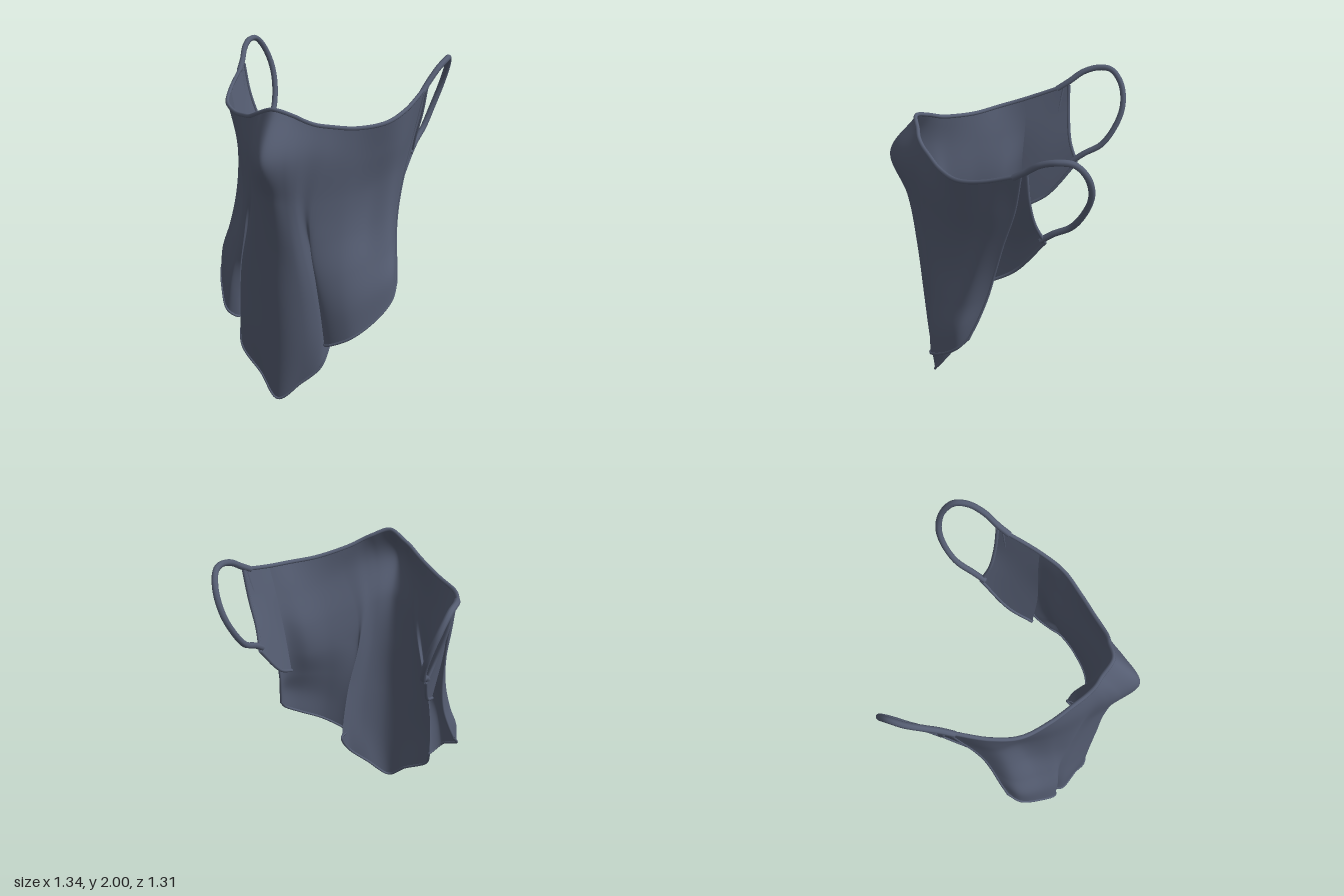
import * as THREE from 'three';

const cloth = new THREE.MeshStandardMaterial({ color: 0x555d72, side: THREE.DoubleSide });
cloth.name = 'slate cloth';

const V = (p) => new THREE.Vector3(...p);
const curve = (pts) => new THREE.CatmullRomCurve3(pts);
const mirror = (p) => new THREE.Vector3(-p.x, p.y, p.z);

// Smooth grid of points through columns that each run from top to bottom
function drape(columns, rows, cols) {
  const down = columns.map(curve);
  const grid = [];
  for (let i = 0; i <= rows; i++) {
    const across = curve(down.map((c) => c.getPoint(i / rows)));
    grid.push(across.getPoints(cols));
  }
  return grid;
}

function sheet(name, grid) {
  const pos = [], index = [];
  const n = grid[0].length;
  grid.forEach((row) => row.forEach((p) => pos.push(p.x, p.y, p.z)));
  for (let i = 0; i < grid.length - 1; i++) {
    for (let j = 0; j < n - 1; j++) {
      const a = i * n + j, b = a + n;
      index.push(a, b, a + 1, a + 1, b, b + 1);
    }
  }
  const g = new THREE.BufferGeometry();
  g.setAttribute('position', new THREE.Float32BufferAttribute(pos, 3));
  g.setIndex(index);
  g.computeVertexNormals();
  const mesh = new THREE.Mesh(g, cloth);
  mesh.name = name;
  return mesh;
}

function cord(name, pts, radius, segments = 90) {
  const mesh = new THREE.Mesh(new THREE.TubeGeometry(curve(pts), segments, radius, 8), cloth);
  mesh.name = name;
  return mesh;
}

// Columns of the left half: centre line, front panel, pleat, hollow cheek, side edge
const frontColumns = [
  [[0, 1.85, .48], [0, 1.6, .65], [0, 1.35, .555], [0, 1.05, .5], [0, .7, .475], [0, .35, .45], [-.03, .01, .43]],
  [[.1, 1.815, .44], [.1, 1.6, .56], [.08, 1.33, .515], [.1, 1.05, .475], [.13, .7, .43], [.14, .4, .4], [.1, .12, .385]],
  [[.15, 1.79, .42], [.145, 1.595, .5], [.12, 1.32, .48], [.14, 1.05, .435], [.185, .72, .375], [.21, .47, .335], [.215, .24, .325]],
  [[.2, 1.765, .385], [.19, 1.59, .435], [.15, 1.3, .43], [.165, 1.05, .38], [.21, .77, .31], [.225, .58, .26], [.235, .4, .235]],
];
const sideColumns = [
  [[.27, 1.745, .325], [.26, 1.57, .36], [.19, 1.3, .4], [.175, 1.05, .395], [.2, .8, .37], [.22, .6, .35], [.24, .39, .335]],
  [[.38, 1.725, .23], [.36, 1.55, .24], [.32, 1.3, .25], [.31, 1.08, .27], [.33, .85, .31], [.36, .65, .33], [.39, .46, .325]],
  [[.5, 1.735, .1], [.46, 1.55, .085], [.415, 1.32, .08], [.41, 1.1, .12], [.45, .9, .18], [.49, .73, .22], [.51, .56, .22]],
  [[.56, 1.775, -.05], [.54, 1.58, -.05], [.51, 1.38, -.03], [.505, 1.16, .01], [.53, .95, .06], [.565, .8, .1], [.572, .66, .11]],
  [[.6, 1.86, -.27], [.56, 1.62, -.23], [.53, 1.38, -.16], [.515, 1.18, -.11], [.52, 1.02, -.07], [.545, .87, -.02], [.57, .75, .03]],
];
const half = [...frontColumns, ...sideColumns];

// The right pleat falls farther out and farther back than the left one
const pleatShift = [0, 0, .05, .1, .13, .135, .135];
const pleatDrop = [0, 0, .04, .06, .04, 0, 0];
const columnShare = [0, .45, .8, 1, 1, .3, 0, 0, 0];

const tab = [
  [[.56, 1.78, -.05], [.525, 1.6, -.05], [.49, 1.35, -.04], [.445, 1.08, -.06]],
  [[.58, 1.815, -.17], [.545, 1.63, -.18], [.5, 1.41, -.19], [.455, 1.18, -.21]],
  [[.6, 1.87, -.3], [.57, 1.69, -.31], [.525, 1.53, -.335], [.49, 1.41, -.385]],
];

const earLoop = [
  [.595, 1.84, -.23], [.61, 1.89, -.3], [.635, 1.95, -.38], [.65, 1.98, -.47], [.642, 1.975, -.55],
  [.615, 1.9, -.615], [.575, 1.78, -.637], [.54, 1.66, -.605], [.512, 1.54, -.53], [.497, 1.475, -.43], [.49, 1.42, -.36],
];

export function createModel() {
  const group = new THREE.Group();
  group.name = 'clothFaceCovering';

  // Main draped panel
  const left = half.map((c) => c.map(V));
  const right = half.slice(1).map((c, k) => c.map((p, r) => {
    const share = columnShare[k + 1];
    const d = pleatShift[r] * share;
    const back = k > 2 ? d * .55 : pleatDrop[r] * share;
    return new THREE.Vector3(-p[0] - d, p[1] + d * .2, p[2] - back);
  })).reverse();
  const grid = drape([...right, ...left], 70, 192);
  group.add(sheet('drapedPanel', grid));

  // Rolled hems around the panel
  const column = (j) => grid.map((row) => row[j]);
  group.add(cord('topHem', grid[0], .012, 180));
  group.add(cord('bottomHem', grid[grid.length - 1], .008, 240));
  group.add(cord('rightSideHem', column(0), .007));
  group.add(cord('leftSideHem', column(grid[0].length - 1), .007));

  // Ear tabs with their hems and loops
  for (const side of ['left', 'right']) {
    const place = (p) => (side === 'left' ? V(p) : mirror(V(p)));
    const cols = tab.map((c) => c.map(place));
    if (side === 'right') cols.reverse();
    const t = drape(cols, 24, 24);
    const rear = side === 'left' ? 24 : 0;
    const ear = new THREE.Group();
    ear.name = side + 'Ear';
    ear.add(sheet('earTab', t));
    ear.add(cord('tabLowerHem', t[24], .01, 30));
    ear.add(cord('tabRearHem', t.map((row) => row[rear]), .01, 30));
    ear.add(cord('earLoop', earLoop.map(place), .018));
    group.add(ear);
  }
  return group;
}
